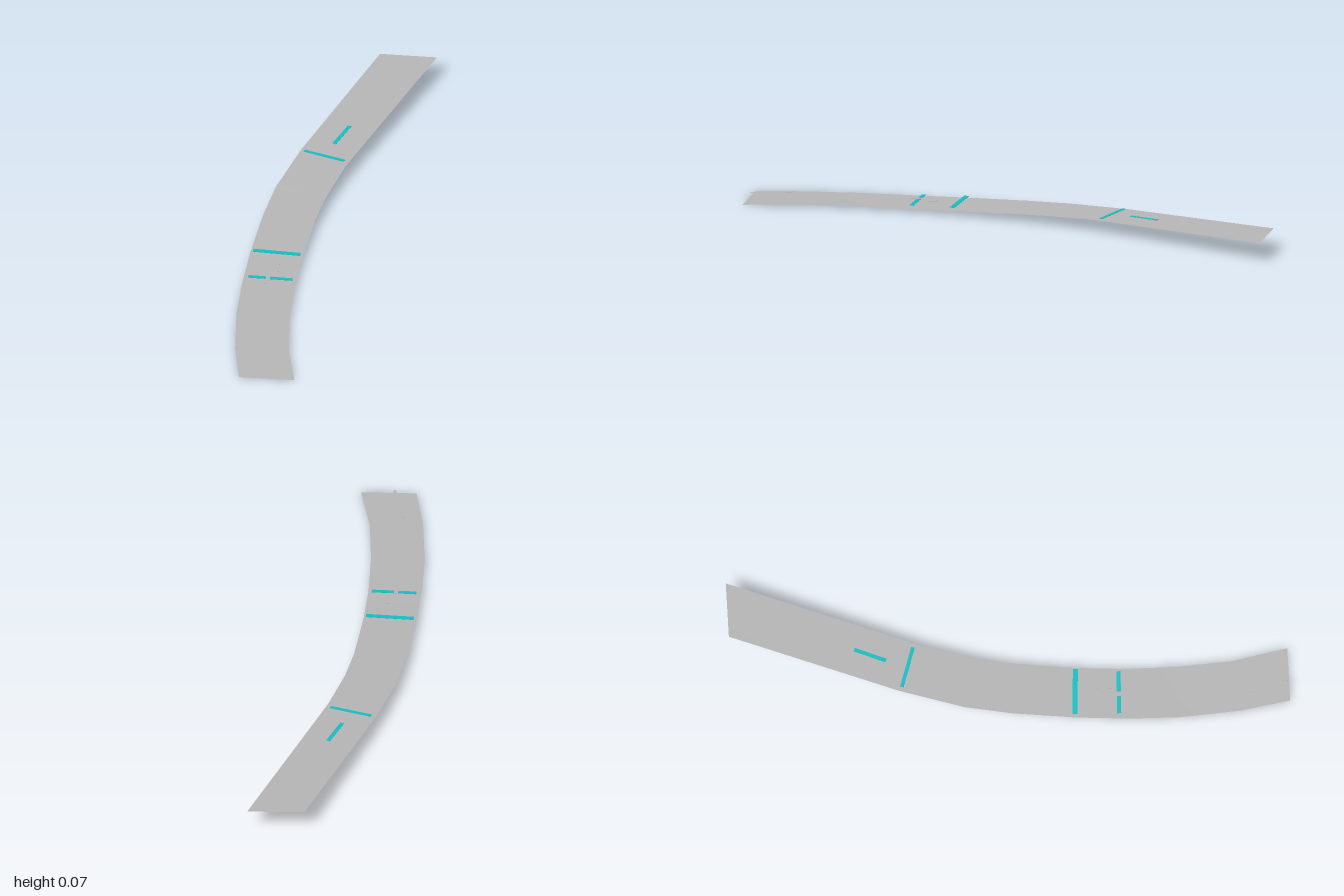
import * as THREE from 'three';

// Road cross-sections: left-edge x, y, z then right-edge x, y, z
const SECTIONS = [
  [0.08, 0.074, -1, 0.285, 0.071, -1],
  [-0.15, 0.048, -0.4, 0.02, 0.046, -0.315],
  [-0.22, 0.036, -0.17, -0.033, 0.035, -0.13],
  [-0.25, 0.028, 0, -0.06, 0.027, 0.01],
  [-0.275, 0.018, 0.23, -0.085, 0.016, 0.235],
  [-0.287, 0.011, 0.42, -0.096, 0.009, 0.41],
  [-0.29, 0.007, 0.6, -0.097, 0.006, 0.6],
  [-0.275, 0.003, 0.82, -0.085, 0.004, 0.8],
  [-0.245, 0.001, 1, -0.045, 0, 1],
];

// Height of the road along its centre
function roadHeight(z) {
  const mid = SECTIONS.map((s) => [(s[2] + s[5]) / 2, (s[1] + s[4]) / 2]);
  for (let i = 0; i < mid.length - 1; i++) {
    const [z0, y0] = mid[i];
    const [z1, y1] = mid[i + 1];
    if (z <= z1) return y0 + ((y1 - y0) * (z - z0)) / (z1 - z0);
  }
  return mid[mid.length - 1][1];
}

// Open strip joining the cross-sections
function makeRoad(material) {
  const index = [];
  for (let i = 0; i < SECTIONS.length - 1; i++) {
    const a = i * 2;
    index.push(a, a + 2, a + 1, a + 1, a + 2, a + 3);
  }
  const geometry = new THREE.BufferGeometry();
  geometry.setAttribute('position', new THREE.Float32BufferAttribute(SECTIONS.flat(), 3));
  geometry.setIndex(index);
  geometry.computeVertexNormals();
  const mesh = new THREE.Mesh(geometry, material);
  mesh.name = 'roadSurface';
  return mesh;
}

// Thin plate running between two points, lifted above the road
function makePlate(name, [x0, z0], [x1, z1], width, lift, material) {
  const a = new THREE.Vector3(x0, roadHeight(z0) + lift, z0);
  const b = new THREE.Vector3(x1, roadHeight(z1) + lift, z1);
  const mesh = new THREE.Mesh(new THREE.BoxGeometry(width, 0.001, a.distanceTo(b)), material);
  mesh.position.copy(a).add(b).multiplyScalar(0.5);
  mesh.lookAt(b);
  mesh.name = name;
  return mesh;
}

export function createModel() {
  const grey = new THREE.MeshStandardMaterial({ color: 0xb4b4b4, side: THREE.DoubleSide });
  grey.name = 'road grey';
  const teal = new THREE.MeshStandardMaterial({ color: 0x12bcc0 });
  teal.name = 'marking teal';

  const group = new THREE.Group();
  group.name = 'curvedRoad';
  group.add(makeRoad(grey));

  // Painted bars across and along the road
  group.add(
    makePlate('crossBarMiddle', [-0.265, 0.225], [-0.093, 0.236], 0.018, 0.01, teal),
    makePlate('crossBarFront', [-0.268, 0.384], [-0.108, 0.39], 0.015, 0.01, teal),
    makePlate('crossBarBack', [-0.137, -0.39], [0.012, -0.342], 0.013, 0.004, teal),
    makePlate('laneDash', [0.012, -0.553], [-0.034, -0.441], 0.014, 0.004, teal),
  );

  // Small grey plates over the front half
  const plates = [
    [[-0.167, 0.31], [-0.167, 0.37], 0.012],
    [[-0.195, 0.37], [-0.197, 0.43], 0.016],
    [[-0.208, 0.837], [-0.201, 0.88], 0.016],
    [[-0.169, 0.975], [-0.167, 1], 0.01],
  ];
  plates.forEach(([a, b, width], i) => {
    group.add(makePlate(`smallPlate${i + 1}`, a, b, width, 0.014, grey));
  });
  return group;
}
